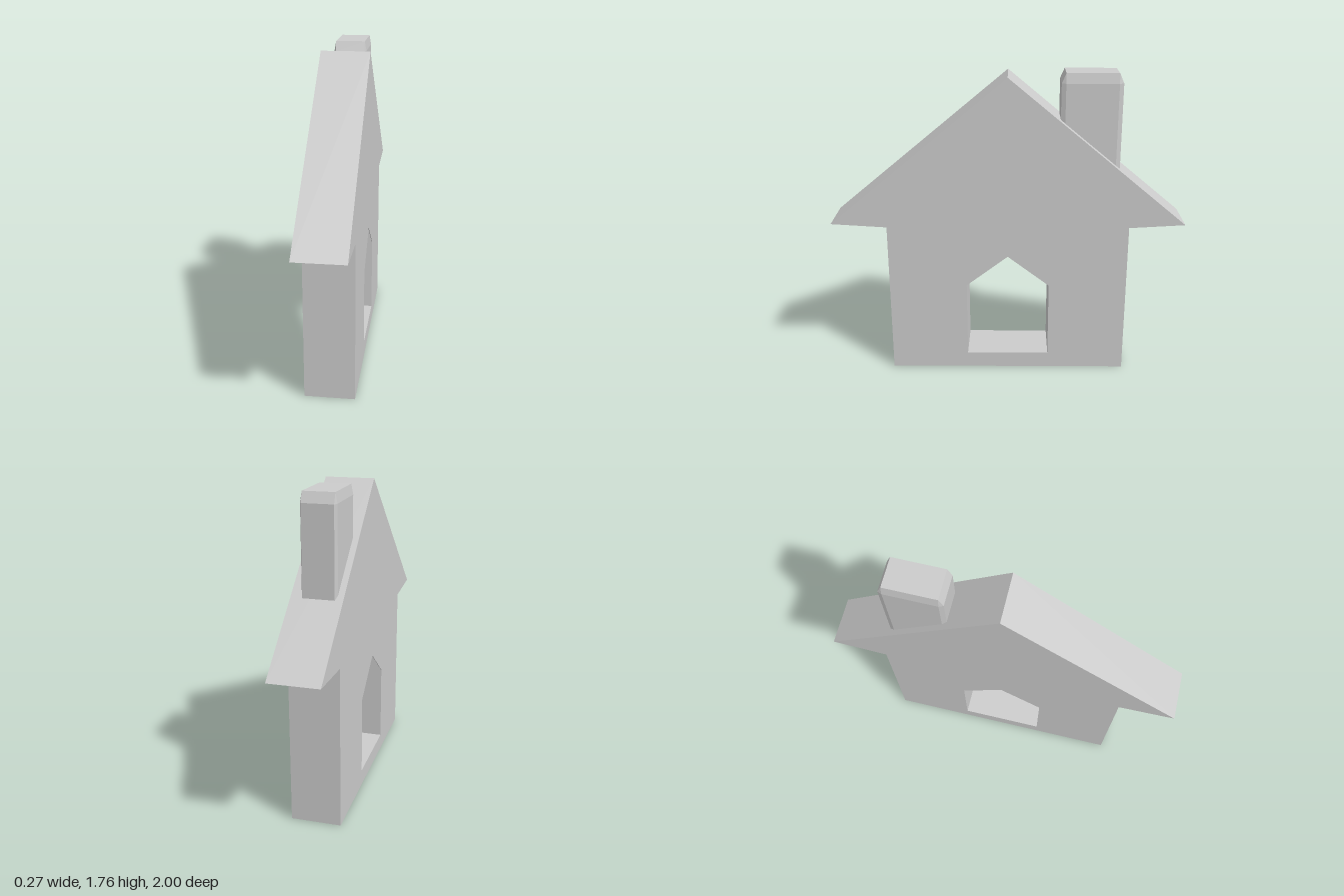
import * as THREE from 'three';
import { ConvexGeometry } from 'three/addons/geometries/ConvexGeometry.js';

const HALF_WIDTH = 0.137;

// Profiles are symmetric [z, y] points, counter-clockwise; extruded along x from x0 to x1.
function profileAlongX(points, x0, x1, hole) {
  const toVectors = (list) => list.map(([z, y]) => new THREE.Vector2(z, y));
  const shape = new THREE.Shape(toVectors(points));
  if (hole) shape.holes.push(new THREE.Path(toVectors(hole)));
  const geometry = new THREE.ExtrudeGeometry(shape, { depth: x1 - x0, bevelEnabled: false });
  return geometry.translate(0, 0, x0).rotateY(Math.PI / 2);
}

// Upright block with chamfered vertical edges and a chamfered top.
function chamferedBlock(hx, hz, y0, y1, cx, cy, cz) {
  const points = [];
  for (const sx of [-1, 1]) {
    for (const sz of [-1, 1]) {
      for (const y of [y0, y1 - cy]) {
        points.push(new THREE.Vector3(sx * hx, y, sz * (hz - cz)));
        points.push(new THREE.Vector3(sx * (hx - cx), y, sz * hz));
      }
      points.push(new THREE.Vector3(sx * (hx - cx), y1, sz * (hz - cz)));
    }
  }
  return new ConvexGeometry(points);
}

export function createModel() {
  const group = new THREE.Group();
  group.name = 'house';
  const material = new THREE.MeshStandardMaterial({ color: 0xcccccc, flatShading: true });
  const add = (name, geometry) => {
    const mesh = new THREE.Mesh(geometry, material);
    mesh.name = name;
    group.add(mesh);
    return mesh;
  };

  // House slab: walls, overhanging eaves and gable, with a chamfered opening
  const outline = [
    [-0.685, 0], [0.685, 0], [0.685, 0.897], [1, 0.916],
    [0, 1.744], [-1, 0.916], [-0.685, 0.897],
  ];
  const opening = [
    [-0.238, 0.092], [0.238, 0.092], [0.238, 0.68],
    [0.21, 0.73], [-0.21, 0.73], [-0.238, 0.68],
  ];
  add('houseBody', profileAlongX(outline, -HALF_WIDTH, HALF_WIDTH, opening));

  // Thin plates on both faces give the doorway its pointed top
  const pointedTop = [
    [0.238, 0.537], [0.238, 0.68], [0.21, 0.73], [-0.21, 0.73],
    [-0.238, 0.68], [-0.238, 0.537], [0, 0.719],
  ];
  const plate = 0.003;
  add('leftDoorwayTop', profileAlongX(pointedTop, HALF_WIDTH - plate, HALF_WIDTH));
  add('rightDoorwayTop', profileAlongX(pointedTop, -HALF_WIDTH, -HALF_WIDTH + plate));

  // Chimney, sunk into the rear roof slope
  const chimney = add('chimney', chamferedBlock(0.094, 0.167, 1.12, 1.757, 0.01, 0.055, 0.024));
  chimney.position.set(-0.01, 0, -0.456);

  return group;
}
